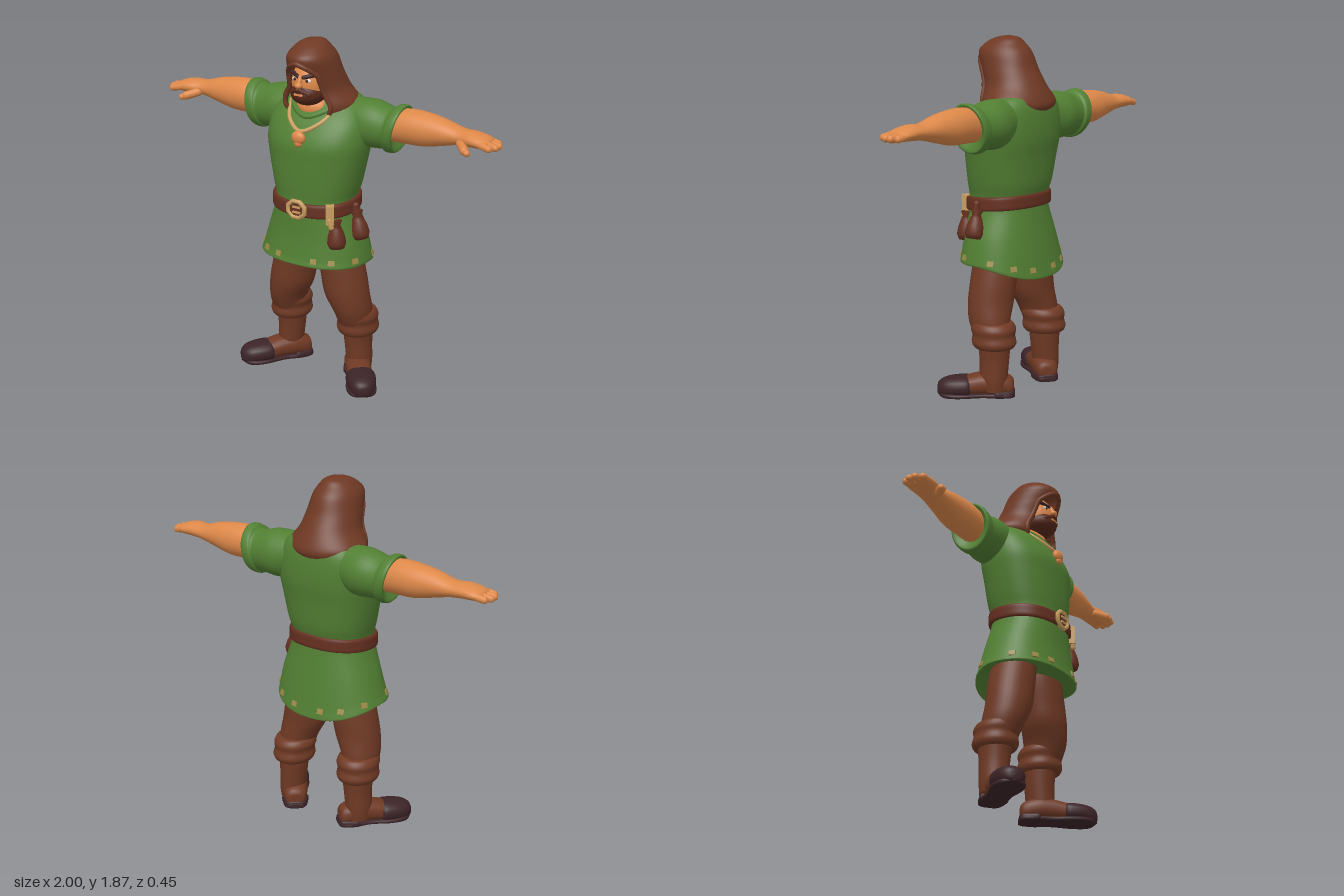
import * as THREE from 'three';
import { mergeVertices } from 'three/addons/utils/BufferGeometryUtils.js';

const material = (name, color, side = THREE.FrontSide) => {
  const m = new THREE.MeshStandardMaterial({ color, side });
  m.name = name;
  return m;
};

// Catmull-Rom interpolation between cross-section rows
function rowAt(rows, u) {
  const n = rows.length, i = Math.min(Math.floor(u), n - 2), f = u - i;
  const [a, b, c, d] = [-1, 0, 1, 2].map(k => rows[Math.min(n - 1, Math.max(0, i + k))]);
  return b.map((_, k) => 0.5 * (2 * b[k] + (c[k] - a[k]) * f + (2 * a[k] - 5 * b[k] + 4 * c[k] - d[k]) * f * f
    + (3 * b[k] - a[k] - 3 * c[k] + d[k]) * f * f * f));
}

// Point on a superellipse ring; row = [t, c1, c2, r1, r2] along the axis
function ringPoint([t, c1, c2, r1, r2], angle, axis, p) {
  const pw = v => Math.sign(v) * Math.pow(Math.abs(v), 2 / p);
  const a = c1 + Math.max(0, r1) * pw(Math.cos(angle)), b = c2 + Math.max(0, r2) * pw(Math.sin(angle));
  if (axis === 'y') return new THREE.Vector3(a, t, b);   // c1 = x, c2 = z
  if (axis === 'x') return new THREE.Vector3(t, b, a);   // c1 = z, c2 = y
  return new THREE.Vector3(b, a, t);                     // c1 = y, c2 = x
}

// Smooth skin through the rows; gap(t) leaves an opening facing the front
function loft(rows, axis = 'y', { p = 2, seg = 32, steps = 5, warp, gap = () => 0 } = {}) {
  const pos = [], idx = [], count = (rows.length - 1) * steps, w = seg + 1;
  for (let i = 0; i <= count; i++) {
    const row = rowAt(rows, i / steps), g = gap(row[0]);
    for (let j = 0; j <= seg; j++) {
      const v = ringPoint(row, Math.PI / 2 + g + (2 * Math.PI - 2 * g) * j / seg, axis, p);
      if (warp) warp(v);
      pos.push(v.x, v.y, v.z);
      if (i < count && j < seg) {
        const k = i * w + j;
        idx.push(k, k + w, k + 1, k + 1, k + w, k + w + 1);
      }
    }
  }
  let geo = new THREE.BufferGeometry();
  geo.setAttribute('position', new THREE.Float32BufferAttribute(pos, 3));
  geo.setIndex(idx);
  geo = mergeVertices(geo);
  geo.computeVertexNormals();
  return geo;
}

function mirrored(mesh) {
  mesh.updateMatrix();
  const g = mesh.geometry.clone().applyMatrix4(mesh.matrix).applyMatrix4(new THREE.Matrix4().makeScale(-1, 1, 1));
  const ix = g.index.array;
  for (let i = 0; i < ix.length; i += 3) [ix[i], ix[i + 1]] = [ix[i + 1], ix[i]];
  const m = new THREE.Mesh(g, mesh.material);
  m.name = mesh.name.replace('left', 'right');
  return m;
}

export function createModel() {
  const root = new THREE.Group();
  root.name = 'hoodedMan';
  const green = material('tunicGreen', 0x527f33, THREE.DoubleSide);
  const brown = material('clothBrown', 0x6f3924, THREE.DoubleSide);
  const skin = material('skin', 0xdd8849);
  const hair = material('beardBrown', 0x57291a);
  const leather = material('beltLeather', 0x653020);
  const dark = material('bootDark', 0x3c2428);
  const tan = material('buckleTan', 0xc79d60);
  const olive = material('hemPatch', 0x9c8a48);
  const white = material('eyeWhite', 0xe8ddd0);

  const add = (name, geo, mat, x = 0, y = 0, z = 0) => {
    const m = new THREE.Mesh(geo, mat);
    m.name = name;
    m.position.set(x, y, z);
    root.add(m);
    return m;
  };
  const pair = m => { root.add(mirrored(m)); return m; };
  const ball = (name, mat, x, y, z, rx, ry, rz) =>
    add(name, new THREE.SphereGeometry(1, 28, 20).scale(rx, ry, rz), mat, x, y, z);
  const capsule = (name, mat, a, b, r) => {
    const A = new THREE.Vector3(...a), B = new THREE.Vector3(...b), d = B.clone().sub(A);
    const m = add(name, new THREE.CapsuleGeometry(r, d.length(), 6, 14), mat);
    m.position.copy(A).add(B).multiplyScalar(0.5);
    m.quaternion.setFromUnitVectors(new THREE.Vector3(0, 1, 0), d.normalize());
    return m;
  };
  const cord = (name, mat, pts, r) =>
    add(name, new THREE.TubeGeometry(new THREE.CatmullRomCurve3(pts), 48, r, 10), mat);
  const vecs = list => list.map(q => new THREE.Vector3(...q));

  // Tunic: chest, waist and flared skirt whose hem dips at the back
  const dip = (y, z) => 0.08 * Math.min(1, Math.max(0, (0.95 - y) / 0.25)) * Math.pow(Math.max(0, -z) / 0.23, 2);
  add('tunic', loft([
    [0.76, 0, 0, 0, 0], [0.715, -0.01, 0, 0.27, 0.19], [0.70, -0.01, 0, 0.305, 0.225], [0.74, -0.005, 0, 0.297, 0.217],
    [0.85, 0, 0.005, 0.268, 0.198], [0.97, 0, 0.015, 0.226, 0.184], [1.04, 0, 0.015, 0.218, 0.18],
    [1.12, 0, 0.007, 0.238, 0.192], [1.25, 0, 0, 0.265, 0.2], [1.35, 0, -0.01, 0.28, 0.205],
    [1.45, 0, -0.035, 0.272, 0.18], [1.53, 0, -0.065, 0.225, 0.138], [1.575, 0, -0.07, 0.15, 0.1], [1.59, 0, -0.07, 0, 0],
  ], 'y', { p: 2.3, seg: 48, warp: v => { v.y -= dip(v.y, v.z); } }), green);

  // Small patches around the hem
  for (const deg of [20, 52, 72, 108, 130, 160, 205, 235, 258, 285, 310, 340]) {
    const a = deg * Math.PI / 180;
    const v = ringPoint([0.735, -0.006, 0, 0.3, 0.22], a, 'y', 2.3);
    const patch = add('hemPatch', new THREE.BoxGeometry(0.034, 0.028, 0.009), olive, v.x, v.y - dip(0.735, v.z), v.z);
    patch.rotation.set(-0.3, Math.atan2(Math.cos(a) / 0.3, Math.sin(a) / 0.22), 0, 'YXZ');
  }

  // Short sleeves with a turned cuff and slanted opening
  pair(add('leftSleeve', loft([
    [0.10, -0.07, 1.455, 0.09, 0.10], [0.25, -0.08, 1.44, 0.12, 0.125], [0.35, -0.08, 1.43, 0.112, 0.113],
    [0.385, -0.08, 1.43, 0.108, 0.112], [0.40, -0.08, 1.432, 0.117, 0.126], [0.435, -0.08, 1.435, 0.117, 0.128],
    [0.445, -0.08, 1.435, 0.105, 0.115], [0.42, -0.08, 1.44, 0.07, 0.075],
  ], 'x', { warp: v => { if (v.x > 0.2) v.x += (v.y - 1.435) * 0.18; } }), green));

  // Bare arms, fingers and thumbs
  pair(add('leftArm', loft([
    [0.36, -0.08, 1.445, 0.08, 0.08], [0.48, -0.083, 1.457, 0.086, 0.09], [0.58, -0.085, 1.457, 0.085, 0.087],
    [0.68, -0.083, 1.46, 0.073, 0.068], [0.78, -0.082, 1.458, 0.06, 0.042], [0.85, -0.072, 1.46, 0.068, 0.039],
    [0.91, -0.07, 1.456, 0.068, 0.032], [0.945, -0.07, 1.452, 0.05, 0.02], [0.95, -0.07, 1.45, 0, 0],
  ], 'x'), skin));
  [[-0.118, 0.965], [-0.085, 0.982], [-0.052, 0.98], [-0.02, 0.96]].forEach(([z, x]) =>
    pair(capsule('leftFinger', skin, [0.89, 1.458, z], [x, 1.445, z + 0.01], 0.0185)));
  pair(capsule('leftThumb', skin, [0.80, 1.44, -0.03], [0.845, 1.425, 0.02], 0.023));
  pair(capsule('leftThumbTip', skin, [0.84, 1.425, 0.015], [0.865, 1.418, 0.032], 0.017));

  // Legs with fur-style knee cuffs and boot shafts
  pair(add('leftTrouserLeg', loft([
    [0.28, 0.212, -0.05, 0.08, 0.085], [0.40, 0.205, -0.02, 0.1, 0.112], [0.50, 0.175, -0.005, 0.12, 0.12],
    [0.60, 0.155, -0.005, 0.122, 0.122], [0.72, 0.13, -0.005, 0.117, 0.12], [0.82, 0.115, 0, 0.1, 0.11],
  ]), brown));
  pair(add('leftBootCuff', loft([
    [0.29, 0.213, -0.055, 0.06, 0.06], [0.268, 0.213, -0.057, 0.092, 0.1], [0.295, 0.213, -0.057, 0.111, 0.12],
    [0.335, 0.212, -0.054, 0.106, 0.115], [0.37, 0.21, -0.05, 0.112, 0.122], [0.40, 0.208, -0.04, 0.1, 0.112],
    [0.405, 0.206, -0.035, 0.08, 0.085],
  ]), brown));
  pair(add('leftBootShaft', loft([
    [0.04, 0.222, -0.06, 0.062, 0.07], [0.10, 0.222, -0.06, 0.068, 0.076], [0.2, 0.215, -0.06, 0.073, 0.08],
    [0.30, 0.213, -0.058, 0.082, 0.09],
  ]), brown));

  // Feet turned outwards: upper, toe cap, sole and heel
  const foot = (name, rows, mat, p) => {
    const m = add(name, loft(rows, 'z', { p, seg: 24 }), mat, 0.2, 0, -0.07);
    m.rotation.y = 0.67;
    pair(m);
  };
  foot('leftBootUpper', [
    [-0.085, 0.06, 0, 0, 0], [-0.075, 0.06, 0, 0.045, 0.05], [0, 0.075, 0, 0.06, 0.068],
    [0.08, 0.074, 0, 0.058, 0.068], [0.18, 0.06, 0, 0.048, 0.066],
  ], brown, 2.3);
  foot('leftToeCap', [
    [0.15, 0.06, 0, 0, 0], [0.145, 0.058, 0, 0.05, 0.07], [0.20, 0.058, 0, 0.055, 0.08],
    [0.27, 0.053, 0, 0.049, 0.066], [0.308, 0.045, 0, 0.034, 0.036], [0.317, 0.042, 0, 0, 0],
  ], dark, 2.3);
  foot('leftSole', [
    [-0.09, 0.016, 0, 0, 0], [-0.085, 0.016, 0, 0.014, 0.05], [-0.02, 0.016, 0, 0.016, 0.07],
    [0.08, 0.016, 0, 0.014, 0.064], [0.2, 0.016, 0, 0.015, 0.082], [0.28, 0.016, 0, 0.015, 0.062], [0.315, 0.016, 0, 0, 0],
  ], dark, 3.5);
  foot('leftHeel', [
    [-0.088, 0.022, 0, 0, 0], [-0.084, 0.022, 0, 0.02, 0.05], [-0.03, 0.022, 0, 0.022, 0.068],
    [0.015, 0.022, 0, 0.021, 0.068], [0.02, 0.022, 0, 0, 0],
  ], dark, 3.5);

  // Belt and octagonal buckle
  add('belt', loft([
    [0.985, 0, 0.015, 0.2, 0.16], [0.982, 0, 0.015, 0.232, 0.192], [1.015, 0, 0.015, 0.236, 0.196],
    [1.05, 0, 0.015, 0.232, 0.192], [1.05, 0, 0.015, 0.2, 0.16],
  ], 'y', { p: 2.3, seg: 48, warp: v => { v.y -= v.z * 0.08; } }), leather);
  add('buckle', new THREE.TorusGeometry(0.05, 0.013, 8, 8).rotateZ(Math.PI / 8).scale(1.05, 0.92, 1), tan, 0, 1.005, 0.212);
  add('bucklePlate', new THREE.BoxGeometry(0.075, 0.065, 0.012), leather, 0, 1.005, 0.21);
  for (const y of [-0.014, 0.014]) add('bucklePin', new THREE.BoxGeometry(0.045, 0.01, 0.009), tan, 0.004, 1.005 + y, 0.219);

  // Pouches and hanging strap on the left hip
  const bag = [[0, 0], [0.04, 0.004], [0.05, 0.03], [0.044, 0.07], [0.03, 0.11], [0.022, 0.125], [0.032, 0.15], [0.024, 0.155], [0, 0.15]];
  const pouch = (name, x, y, z, tilt) => {
    const m = add(name, new THREE.LatheGeometry(bag.map(q => new THREE.Vector2(...q)), 20), leather, x, y, z);
    m.rotation.z = tilt;
  };
  pouch('frontPouch', 0.2, 0.81, 0.14, 0.05);
  pouch('sidePouch', 0.275, 0.84, 0.025, 0.18);
  capsule('pouchTie', leather, [0.25, 0.96, 0.03], [0.245, 1.02, 0.03], 0.018);
  add('hipStrap', new THREE.BoxGeometry(0.042, 0.1, 0.05), tan, 0.17, 0.995, 0.16).rotation.y = 0.6;
  capsule('knifeHandle', tan, [0.185, 0.93, 0.17], [0.175, 0.97, 0.175], 0.014);

  // Neck, collar, necklace and pendant
  ball('neck', skin, -0.01, 1.51, 0.015, 0.105, 0.075, 0.092);
  cord('collar', green, vecs([[-0.15, 1.56, -0.02], [-0.1, 1.515, 0.075], [0, 1.478, 0.12], [0.1, 1.515, 0.075], [0.15, 1.56, -0.02]]), 0.015);
  cord('necklace', tan, vecs([[-0.14, 1.53, 0.04], [-0.09, 1.458, 0.132], [0, 1.415, 0.175], [0.09, 1.458, 0.132], [0.14, 1.53, 0.04]]), 0.011);
  ball('pendant', skin, 0, 1.385, 0.19, 0.04, 0.035, 0.024);
  ball('pendantTip', skin, 0, 1.357, 0.192, 0.024, 0.022, 0.018);

  // Face with nose, eyes, brows and a full beard
  const cx = -0.01;
  ball('head', skin, cx, 1.645, 0.06, 0.095, 0.12, 0.1);
  ball('beard', hair, cx, 1.598, 0.075, 0.09, 0.068, 0.106);
  capsule('noseBridge', skin, [cx, 1.69, 0.152], [cx, 1.658, 0.168], 0.012);
  ball('noseTip', skin, cx, 1.65, 0.17, 0.02, 0.016, 0.022);
  capsule('mouth', skin, [cx - 0.018, 1.602, 0.172], [cx + 0.018, 1.602, 0.172], 0.0095);
  for (const s of [-1, 1]) {
    ball('eye', white, cx + s * 0.038, 1.674, 0.143, 0.018, 0.011, 0.009);
    ball('pupil', dark, cx + s * 0.036, 1.674, 0.149, 0.008, 0.009, 0.006);
    capsule('eyebrow', dark, [cx + s * 0.016, 1.69, 0.15], [cx + s * 0.066, 1.703, 0.127], 0.0105);
    capsule('moustache', hair, [cx + s * 0.008, 1.626, 0.172], [cx + s * 0.05, 1.606, 0.152], 0.013);
    capsule('sideburn', hair, [cx + s * 0.083, 1.61, 0.09], [cx + s * 0.085, 1.68, 0.085], 0.015);
  }

  // Hood: draped shell with an arched face opening and rolled edge
  const hood = [
    [1.485, cx, -0.045, 0.185, 0.16], [1.515, cx, -0.045, 0.208, 0.175], [1.55, cx, -0.042, 0.207, 0.172],
    [1.62, cx, -0.02, 0.158, 0.16], [1.70, cx, 0.015, 0.138, 0.152], [1.78, cx, 0.045, 0.121, 0.15],
    [1.825, cx, 0.045, 0.092, 0.112], [1.855, cx, 0.03, 0.055, 0.066], [1.868, cx, 0.025, 0, 0],
  ];
  const gap = y => Math.min(0.7, 0.7 * Math.sqrt(Math.max(0, 1.762 - y) / 0.06));
  add('hood', loft(hood, 'y', { seg: 48, steps: 8, gap }), brown);
  const edge = [];
  for (let u = 0; u < 5; u += 0.2) {
    const row = rowAt(hood, u), g = gap(row[0]);
    if (g > 0.15) edge.push(ringPoint(row, Math.PI / 2 + g, 'y', 2));
  }
  const peak = ringPoint(rowAt(hood, 4.78), Math.PI / 2, 'y', 2);
  const otherEdge = edge.map(v => new THREE.Vector3(2 * cx - v.x, v.y, v.z)).reverse();
  cord('hoodEdge', brown, [...edge, peak, ...otherEdge], 0.013);

  return root;
}
